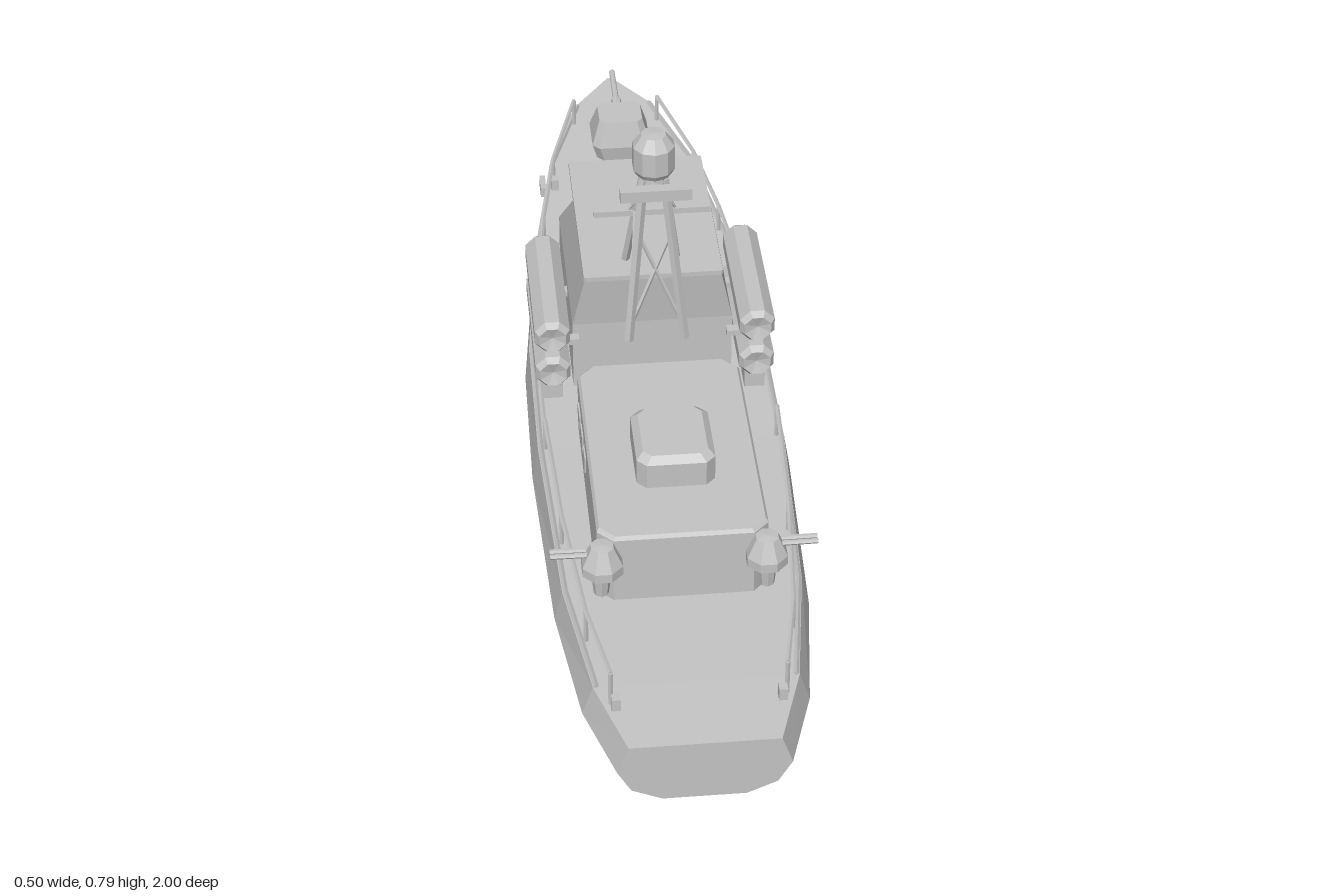
import * as THREE from 'three';

const paint = new THREE.MeshStandardMaterial({ color: 0xc4c4c4 });
paint.name = 'grey paint';

export function createModel() {
  const root = new THREE.Group();
  root.name = 'patrolBoat';

  // Facetted mesh with hard edges
  function add(name, geo, x = 0, y = 0, z = 0) {
    const g = geo.index ? geo.toNonIndexed() : geo;
    g.computeVertexNormals();
    const m = new THREE.Mesh(g, paint);
    m.name = name;
    m.position.set(x, y, z);
    root.add(m);
    return m;
  }
  const box = (name, w, h, d, x, y, z) => add(name, new THREE.BoxGeometry(w, h, d), x, y, z);

  // Skin through closed rings, capped at both ends
  function loft(name, rings) {
    const n = rings[0].length, pos = [];
    const tri = (...pts) => pts.forEach(p => pos.push(...p));
    for (let i = 0; i < rings.length - 1; i++) {
      const A = rings[i], B = rings[i + 1];
      for (let j = 0; j < n; j++) {
        const k = (j + 1) % n;
        tri(A[j], B[j], B[k], A[j], B[k], A[k]);
      }
    }
    const first = rings[0], last = rings[rings.length - 1];
    for (let j = 1; j < n - 1; j++) {
      tri(first[0], first[j], first[j + 1]);
      tri(last[0], last[j + 1], last[j]);
    }
    const g = new THREE.BufferGeometry();
    g.setAttribute('position', new THREE.Float32BufferAttribute(pos, 3));
    return add(name, g);
  }

  // Level ring with clipped corners: half width, aft z, forward z, corner cuts
  const ring = (y, w, za, zf, c, cz = c) => [
    [w, y, za - cz], [w - c, y, za], [c - w, y, za], [-w, y, za - cz],
    [-w, y, zf + cz], [c - w, y, zf], [w - c, y, zf], [w, y, zf + cz],
  ];

  // Straight round bar between two points
  function rod(name, a, b, r, sides = 6, r2 = r) {
    const A = new THREE.Vector3(...a), B = new THREE.Vector3(...b);
    const d = B.clone().sub(A);
    const m = add(name, new THREE.CylinderGeometry(r2, r, d.length(), sides));
    m.position.copy(A).add(B).multiplyScalar(0.5);
    m.quaternion.setFromUnitVectors(new THREE.Vector3(0, 1, 0), d.normalize());
    return m;
  }

  // Hull stations: z, keel y, keel x, chine y, x, knuckle y, x, deck y, x
  const stations = [
    [1, .02, .075, .045, .13, .09, .155, .148, .135],
    [.85, .012, .095, .045, .17, .095, .205, .155, .185],
    [.6, .005, .105, .045, .205, .098, .237, .163, .222],
    [.2, 0, .11, .046, .223, .105, .252, .178, .24],
    [-.1, 0, .105, .05, .215, .118, .247, .193, .238],
    [-.4, .018, .075, .062, .165, .145, .213, .21, .208],
    [-.7, .045, .04, .09, .1, .175, .15, .232, .155],
    [-.9, .08, .01, .12, .04, .2, .075, .248, .085],
    [-1, .13, .002, .16, .003, .21, .004, .255, .005],
  ];
  loft('hull', stations.map(([z, ...p]) => {
    const half = [];
    for (let i = 0; i < 8; i += 2) half.push([p[i + 1], p[i], z]);
    return [...half, ...half.slice().reverse().map(([x, y]) => [-x, y, z])];
  }));

  // Deck edge position at any z
  function deck(z) {
    let i = 0;
    while (i < stations.length - 2 && stations[i + 1][0] > z) i++;
    const a = stations[i], b = stations[i + 1], t = (a[0] - z) / (a[0] - b[0]);
    return { y: a[7] + (b[7] - a[7]) * t, x: a[8] + (b[8] - a[8]) * t };
  }

  // Aft deckhouse and roof hatch
  loft('deckhouse', [ring(.15, .157, .63, .115, .028), ring(.303, .157, .63, .115, .028),
    ring(.31, .152, .625, .12, .028)]);
  loft('roofHatch', [ring(.305, .073, .495, .33, .018), ring(.362, .073, .495, .33, .018),
    ring(.375, .06, .482, .343, .015)]);

  // Bridge with raked windscreen and overhanging roof
  const bridgeRing = (y, w, za, zs, wf, zf) =>
    [[w, y, za], [-w, y, za], [-w, y, zs], [-wf, y, zf], [wf, y, zf], [w, y, zs]];
  loft('bridge', [bridgeRing(.17, .157, .02, -.35, .09, -.445),
    bridgeRing(.338, .157, .02, -.35, .09, -.445),
    bridgeRing(.458, .132, .035, -.24, .085, -.28)]);
  loft('bridgeRoof', [ring(.455, .135, .042, -.36, .003), ring(.465, .135, .042, -.36, .003)]);

  // Mast: four legs, bracing, yard, radar bar and dome
  for (const s of [-1, 1]) {
    rod('mastAftLeg', [s * .054, .36, .11], [s * .02, .69, .048], .009, 4);
    rod('mastForwardLeg', [s * .05, .46, -.015], [s * .02, .69, .033], .008, 4);
    rod('mastBrace', [s * -.045, .4, .1], [s * .032, .58, .065], .004, 4);
    rod('mastSideBrace', [s * .044, .47, .088], [s * .033, .6, .018], .004, 4);
    rod('mastYardStay', [s * .045, .598, .012], [s * .026, .64, .025], .003, 4);
  }
  box('mastYard', .224, .012, .012, 0, .594, .012);
  box('radarBar', .136, .024, .022, 0, .687, .09);
  rod('radarArm', [0, .685, .04], [0, .685, .085], .008);
  add('domeNeck', new THREE.CylinderGeometry(.022, .026, .045, 8), 0, .69, .04);
  add('radarDome', new THREE.LatheGeometry(
    [[0, .703], [.034, .703], [.041, .715], [.041, .765], [.024, .788], [0, .79]]
      .map(p => new THREE.Vector2(...p)), 10), 0, 0, .04);

  // Bow gun turret
  box('bowGunBase', .08, .04, .08, 0, .238, -.73);
  loft('bowGunTurret', [ring(.25, .052, -.678, -.782, .015), ring(.285, .062, -.672, -.79, .015),
    ring(.342, .046, -.685, -.765, .012)]);
  rod('bowGunBarrel', [0, .308, -.76], [0, .316, -.93], .007, 8, .006);
  rod('bowGunSleeve', [0, .308, -.77], [0, .311, -.82], .011, 8);

  for (const s of [-1, 1]) {
    // Launch tubes on cradles
    for (const y of [.352, .268]) {
      const profile = [[0, -.15], [.028, -.158], [.037, -.145], [.037, .145], [.028, .158], [0, .15]];
      const tube = add('launchTube', new THREE.LatheGeometry(
        profile.map(p => new THREE.Vector2(...p)), 8, Math.PI / 8), s * .2, y, -.072);
      tube.rotation.x = Math.PI / 2;
      for (const z of [.03, -.13]) box('tubeCradle', .034, .03, .035, s * .2, y - .042, z);
    }
    for (const z of [.03, -.13]) {
      box('cradleFoot', .04, .055, .045, s * .2, .207, z);
      box('cradleBracket', .06, .012, .02, s * .175, .31, z);
    }

    // Aft guns, pointing outboard
    add('aftGunPedestal', new THREE.CylinderGeometry(.02, .014, .06, 8), s * .152, .218, .635);
    add('aftGunHousing', new THREE.LatheGeometry(
      [[0, .243], [.04, .243], [.04, .262], [.022, .3], [0, .302]]
        .map(p => new THREE.Vector2(...p)), 8, Math.PI / 8), s * .15, 0, .637);
    for (const dz of [-.007, .007])
      rod('aftGunBarrel', [s * .16, .28, .63 + dz], [s * .244, .281, .63 + dz], .005);

    // Deckhouse windows
    for (const z of [.2, .265, .33]) box('deckhouseWindow', .006, .034, .042, s * .157, .253, z);

    // Guard rails with posts
    const rail = (name, stops, h) => {
      const pts = stops.map(z => {
        const d = deck(z);
        return [s * Math.max(d.x - .015, .01), d.y, z];
      });
      pts.forEach((p, i) => {
        rod(name + 'Post', p, [p[0], p[1] + h, p[2]], .0045, 5);
        if (i) {
          const q = pts[i - 1];
          rod(name, [q[0], q[1] + h, q[2]], [p[0], p[1] + h, p[2]], .0045, 5);
        }
      });
    };
    rail('sternRail', [.89, .73, .47, .2], .072);
    rail('midRail', [.2, .02, -.22], .03);
    rail('bowRail', [-.26, -.45, -.64, -.84], .06);

    // Toe rail along the deck edge
    for (let i = 1; i < stations.length - 2; i++) {
      const a = stations[i], b = stations[i + 1];
      rod('toeRail', [s * (a[8] - .006), a[7] + .003, a[0]],
        [s * (b[8] - .006), b[7] + .003, b[0]], .005, 4);
    }

    // Anchor plates and mooring bollards
    box('anchorPlate', .012, .022, .05, s * .172, .196, -.672);
    for (const z of [.9, -.62]) {
      const d = deck(z);
      box('bollard', .016, .03, .02, s * (d.x - .02), d.y + .01, z);
    }
  }
  return root;
}
